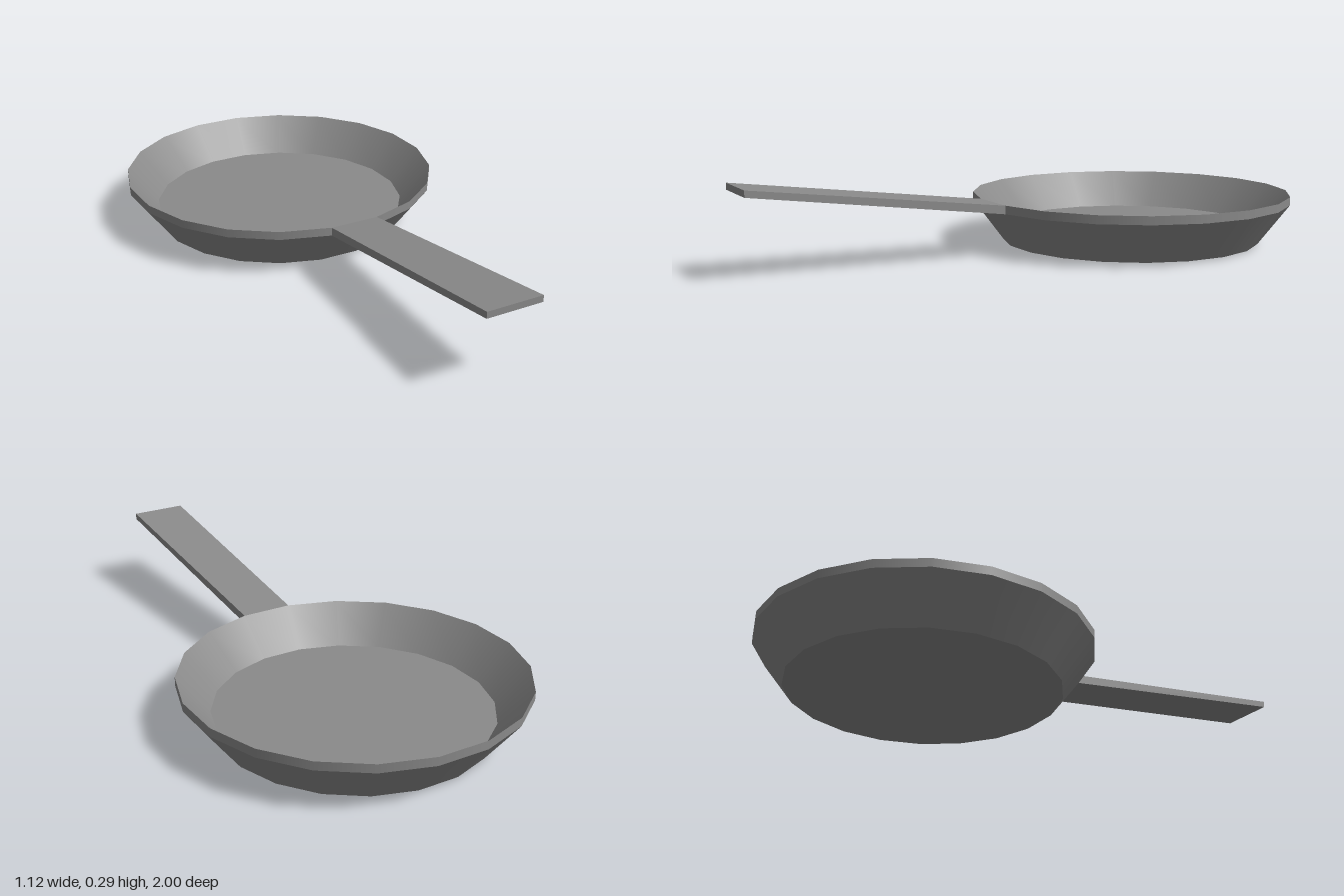
import * as THREE from 'three';

const SIDES = 20;
const TURN = THREE.MathUtils.degToRad(-3.5);
const RIM_R = 0.5635, BASE_R = 0.456;
const RIM_Y = 0.175, BAND_Y = 0.146, FLOOR_Y = 0.05;

export function createModel() {
  const model = new THREE.Group();
  model.name = 'fryingPan';
  const material = new THREE.MeshStandardMaterial({ color: 0x8a8a8a });

  const pan = new THREE.Group();
  pan.name = 'pan';
  pan.position.z = -0.4375;
  model.add(pan);

  // One ring of the pan: smooth around, with sharp edges to its neighbours
  function ring(name, r0, y0, r1, y1) {
    const profile = [new THREE.Vector2(r0, y0), new THREE.Vector2(r1, y1)];
    const mesh = new THREE.Mesh(new THREE.LatheGeometry(profile, SIDES, TURN), material);
    mesh.name = name;
    pan.add(mesh);
  }
  ring('underside', 0, 0, BASE_R, 0.004);
  ring('outerWall', BASE_R, 0.004, RIM_R, BAND_Y);
  ring('rimBand', RIM_R, BAND_Y, RIM_R, RIM_Y);
  ring('innerWall', RIM_R, RIM_Y, BASE_R, FLOOR_Y);
  ring('floor', BASE_R, FLOOR_Y, 0, FLOOR_Y);

  // Handle: drawn out of one side of the rim band, rising and widening slightly
  const half = Math.PI / SIDES;
  const startZ = RIM_R * Math.cos(half), endZ = 1.435;
  const startW = RIM_R * Math.sin(half), endW = 0.098;
  const geometry = new THREE.BoxGeometry(2, 2, 2);
  const p = geometry.attributes.position;
  for (let i = 0; i < p.count; i++) {
    const far = p.getZ(i) > 0, top = p.getY(i) > 0;
    p.setXYZ(
      i,
      p.getX(i) * (far ? endW : startW),
      far ? (top ? 0.288 : 0.266) : (top ? RIM_Y : BAND_Y),
      far ? endZ : startZ
    );
  }
  geometry.computeVertexNormals();
  const handle = new THREE.Mesh(geometry, material);
  handle.name = 'handle';
  handle.rotation.y = TURN + half;
  pan.add(handle);

  return model;
}
